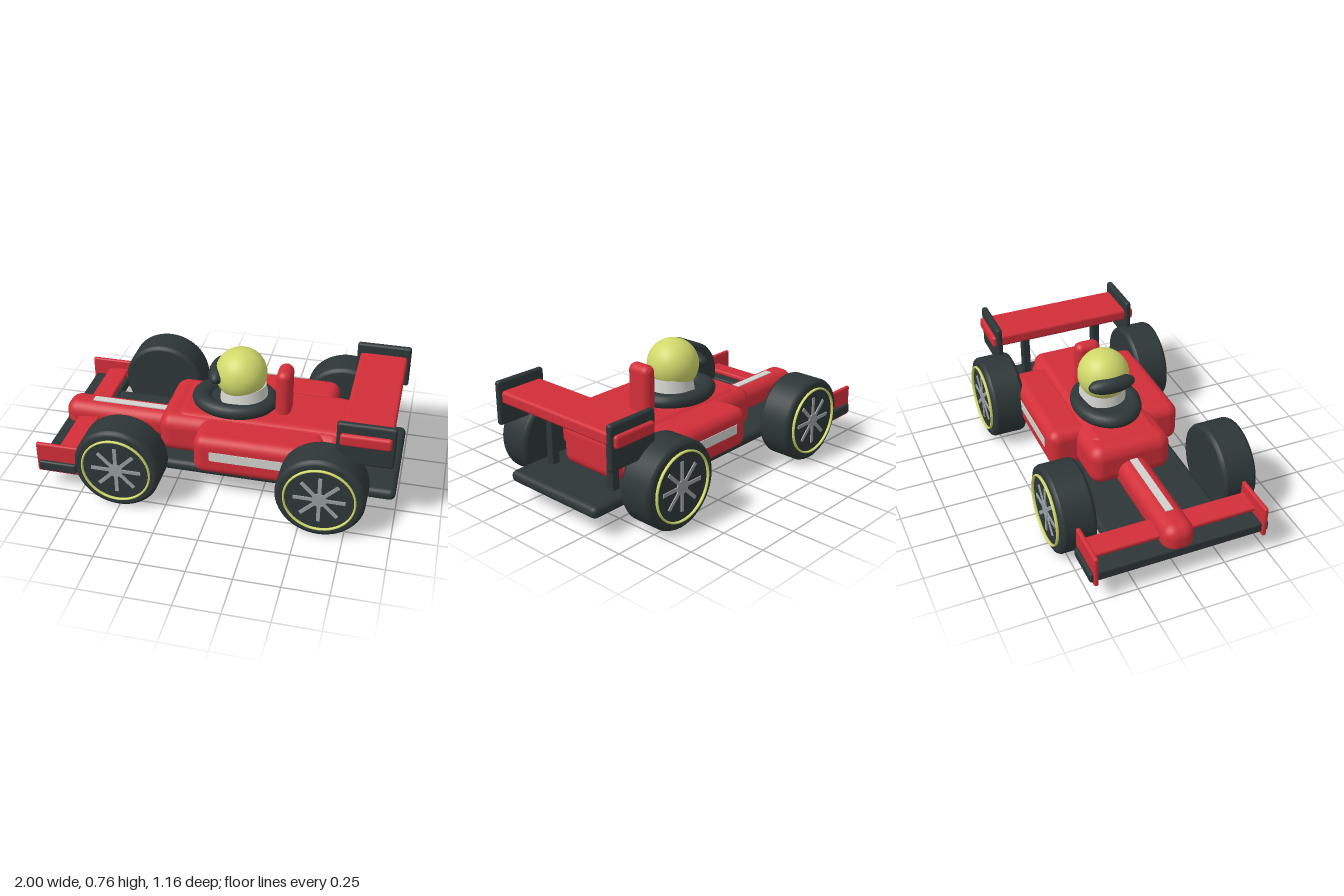
import * as THREE from 'three';
import { RoundedBoxGeometry } from 'three/addons/geometries/RoundedBoxGeometry.js';

const paint = (name, color) => {
  const m = new THREE.MeshStandardMaterial({ color });
  m.name = name;
  return m;
};

export function createModel() {
  const car = new THREE.Group();
  car.name = 'racingCar';
  const red = paint('red', 0xd22e38);
  const dark = paint('charcoal', 0x2d3637);
  const yellow = paint('yellow', 0xd0d86a);
  const white = paint('offWhite', 0xd2d2ce);
  const grey = paint('grey', 0x989ea2);

  const add = (name, geo, mat, x = 0, y = 0, z = 0, parent = car) => {
    const mesh = new THREE.Mesh(geo, mat);
    mesh.name = name;
    mesh.position.set(x, y, z);
    parent.add(mesh);
    return mesh;
  };
  // Rounded block given by its extents on each axis
  const block = (name, mat, [x0, x1], [y0, y1], [z0, z1], r) =>
    add(name, new RoundedBoxGeometry(x1 - x0, y1 - y0, z1 - z0, 5, r), mat,
      (x0 + x1) / 2, (y0 + y1) / 2, (z0 + z1) / 2);

  // Floor and body, nose towards -x
  block('floor', dark, [-0.8, 0.995], [0.11, 0.178], [-0.328, 0.328], 0.032);
  block('mainBody', red, [-0.365, 0.69], [0.165, 0.405], [-0.24, 0.24], 0.075);
  block('engineCover', red, [-0.28, 0.73], [0.17, 0.415], [-0.207, 0.207], 0.06);
  block('nose', red, [-0.985, -0.25], [0.13, 0.306], [-0.088, 0.088], 0.07);
  add('noseStripe', new THREE.BoxGeometry(0.48, 0.008, 0.044), white, -0.585, 0.307, 0);
  block('airIntake', red, [0.272, 0.358], [0.36, 0.678], [-0.077, 0.077], 0.042);

  // Front wing
  block('frontWing', dark, [-0.985, -0.765], [0.125, 0.185], [-0.51, 0.51], 0.012);
  const flap = block('frontFlap', red, [-0.9, -0.77], [0.205, 0.235], [-0.485, 0.485], 0.012);
  flap.rotation.z = 0.1;

  // Rear wing
  block('rearWing', red, [0.685, 0.955], [0.527, 0.598], [-0.458, 0.458], 0.018);

  for (const s of [1, -1]) {
    const span = (a, b) => (s > 0 ? [a, b] : [-b, -a]);
    block('sidepod', red, [-0.125, 0.587], [0.165, 0.402], span(0.15, 0.395), 0.06);
    add('sidepodStripe', new THREE.BoxGeometry(0.475, 0.056, 0.008), white, 0.2125, 0.297, s * 0.395);
    block('frontEndplate', red, [-1, -0.745], [0.107, 0.292], span(0.467, 0.492), 0.01);
    block('rearEndplate', dark, [0.665, 0.975], [0.405, 0.655], span(0.4, 0.437), 0.016);
    block('rearWingStrut', dark, [0.745, 0.795], [0.16, 0.54], span(0.207, 0.255), 0.008);
  }

  // Cockpit surround
  const ring = add('cockpitRing', new THREE.TorusGeometry(0.155, 0.045, 16, 48), dark, 0.032, 0.443, 0);
  ring.rotation.x = Math.PI / 2;
  ring.scale.set(1.235, 0.985, 0.95);
  const pad = add('cockpitFloor', new THREE.CylinderGeometry(0.16, 0.16, 0.04, 40), dark, 0.032, 0.435, 0);
  pad.scale.x = 1.25;

  // Driver
  add('collar', new THREE.CylinderGeometry(0.122, 0.142, 0.12, 40), white, 0.085, 0.493, 0);
  add('helmet', new THREE.SphereGeometry(0.147, 40, 28), yellow, 0.065, 0.612, 0);
  const visor = add('visor', new THREE.SphereGeometry(1, 32, 20), dark, -0.058, 0.615, 0);
  visor.scale.set(0.058, 0.051, 0.138);

  // Wheels: lathed tyre, thin ring and eight spokes on the outer face
  const tyreGeo = new THREE.LatheGeometry([
    [0, -0.1], [0.222, -0.1], [0.222, -0.1], [0.236, -0.094], [0.243, -0.08], [0.243, -0.08],
    [0.243, 0.08], [0.243, 0.08], [0.236, 0.094], [0.222, 0.1], [0.222, 0.1], [0, 0.1],
  ].map(([r, y]) => new THREE.Vector2(r, y)), 56);
  tyreGeo.rotateX(Math.PI / 2);
  const ringGeo = new THREE.TorusGeometry(0.191, 0.006, 8, 56);
  const spokeGeo = new THREE.BoxGeometry(0.125, 0.02, 0.012).translate(0.0775, 0, 0);
  const hubGeo = new THREE.CylinderGeometry(0.04, 0.04, 0.016, 24).rotateX(Math.PI / 2);
  for (const x of [-0.506, 0.613]) {
    for (const s of [1, -1]) {
      const wheel = new THREE.Group();
      wheel.name = x < 0 ? 'frontWheel' : 'rearWheel';
      wheel.position.set(x, 0.244, s * 0.465);
      wheel.rotation.y = s > 0 ? 0 : Math.PI;
      add('tyre', tyreGeo, dark, 0, 0, 0, wheel);
      const band = add('wheelRing', ringGeo, yellow, 0, 0, 0.107, wheel);
      band.scale.z = 1.5;
      add('hub', hubGeo, grey, 0, 0, 0.1, wheel);
      for (let i = 0; i < 8; i++) {
        add('spoke', spokeGeo, grey, 0, 0, 0.1, wheel).rotation.z = (i * Math.PI) / 4;
      }
      car.add(wheel);
    }
  }
  return car;
}
